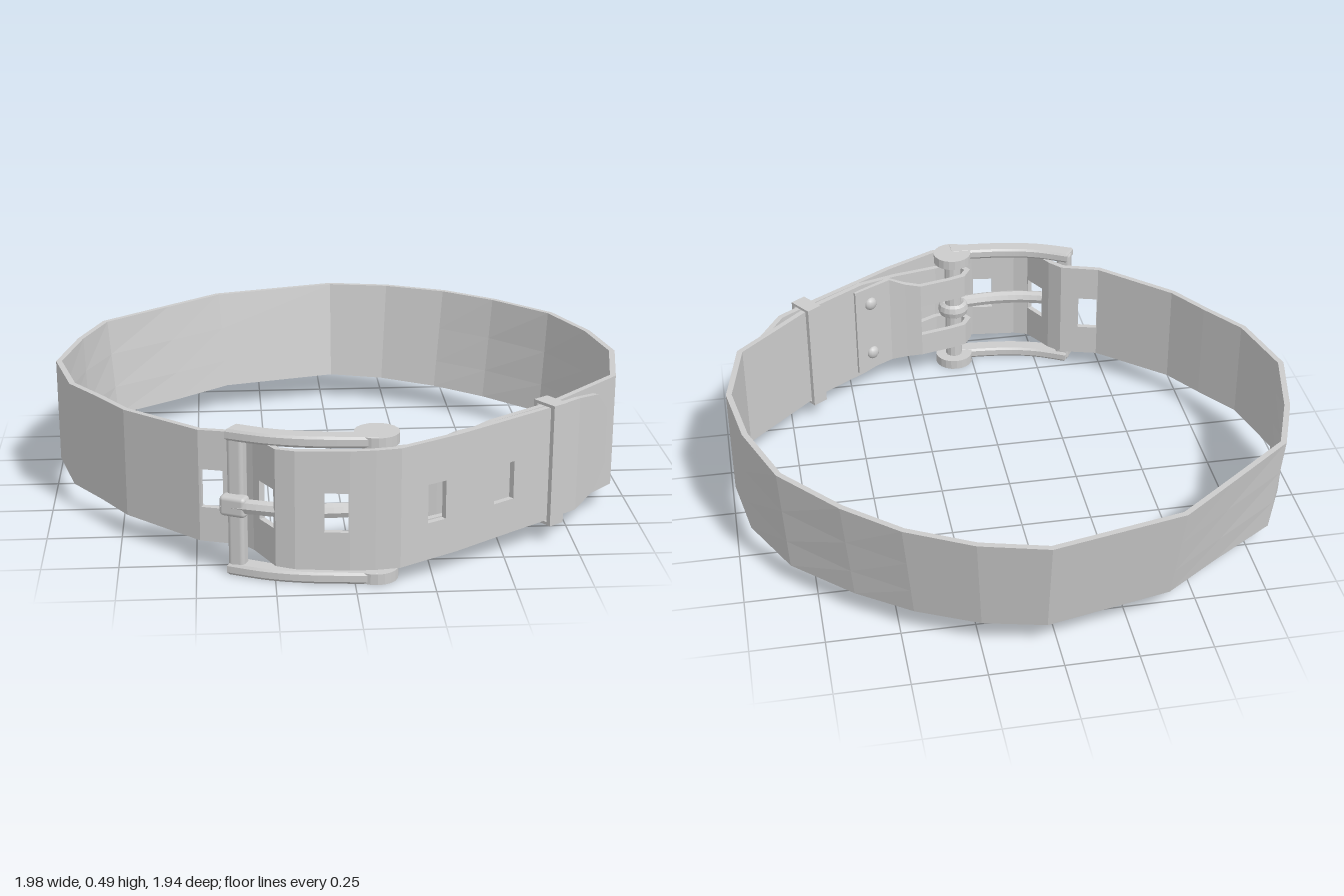
import * as THREE from 'three';
import { RoundedBoxGeometry } from 'three/addons/geometries/RoundedBoxGeometry.js';

const material = new THREE.MeshStandardMaterial({ color: 0xcccccc, flatShading: true, side: THREE.DoubleSide });
const smooth = new THREE.MeshStandardMaterial({ color: 0xcccccc });
const THICK = 0.02;
const { clamp, lerp } = THREE.MathUtils;

function add(parent, name, geometry, x = 0, y = 0, z = 0, mat = material) {
  const mesh = new THREE.Mesh(geometry, mat);
  mesh.name = name;
  mesh.position.set(x, y, z);
  parent.add(mesh);
  return mesh;
}

// Strap outline from above, as [x, z]: the end folded round the buckle bar,
// the body from right to back to left, and the front up to the tip.
const FOLD = [[0.47, 0.695], [0.33, 0.775], [0.27, 0.775], [0.21, 0.772], [0.09, 0.8], [0.03, 0.82],
  [0, 0.87], [0.03, 0.92], [0.07, 0.93], [0.14, 0.92], [0.31, 0.832]];
const BODY = [[0.45, 0.745], [0.66, 0.6], [0.935, 0.33], [0.99, 0.05], [0.95, -0.2], [0.855, -0.45],
  [0.67, -0.66], [0.49, -0.81], [0.27, -0.92], [0.04, -0.975], [-0.42, -0.87], [-0.62, -0.715],
  [-0.85, -0.535], [-0.93, -0.32], [-0.99, -0.05]];
const FRONT = [[-0.925, 0.21], [-0.82, 0.36], [-0.73, 0.5], [-0.487, 0.72], [-0.35, 0.76], [-0.315, 0.8],
  [-0.25, 0.92], [-0.19, 0.945], [-0.02, 0.965], [0.06, 0.965], [0.14, 0.955], [0.33, 0.85],
  [0.66, 0.63], [0.77, 0.55], [0.853, 0.445], [0.9, 0.385]];
const HOLES = [[-0.48, -0.41], [-0.297, -0.255], [-0.1, -0.025], [0.23, 0.29], [0.46, 0.53]];

// The fold narrows into a slotted loop at the bar.
function foldPoint([x, z]) {
  const t = clamp((x - 0.24) / 0.09, 0, 1);
  return { x, z, y0: lerp(0.11, 0.1, t), y1: lerp(0.42, 0.46, t), lean: 0, hole: x < 0.25 };
}

// The body rises towards +x, and its lower edge leans inwards at the back.
function bodyPoint([x, z]) {
  return {
    x, z, y0: 0.09 - 0.02 * z ** 3, y1: 0.47 + 0.015 * x,
    lean: 0.065 * clamp((-z - 0.2) / 0.6, 0, 1), hole: false
  };
}

// Hole edges become extra points on the front, and the tip tapers.
function frontPoints() {
  const cuts = HOLES.flat().map(x => {
    const k = FRONT.findIndex(p => p[0] > x);
    const [a, b] = [FRONT[k - 1], FRONT[k]];
    return [x, lerp(a[1], b[1], (x - a[0]) / (b[0] - a[0]))];
  });
  const points = [...FRONT, ...cuts].sort((a, b) => a[0] - b[0]).map(bodyPoint);
  for (const p of points) p.hole = HOLES.some(([a, b]) => p.x >= a && p.x < b);
  [0.1, 0.025].forEach((inset, k) => {
    const p = points[points.length - 1 - k];
    p.y0 += inset;
    p.y1 -= inset;
  });
  return points;
}

// A band of three rows of cells; the middle cell is left out at a hole.
function strapGeometry(path) {
  const n = path.length;
  const dir = (a, b) => new THREE.Vector2(path[b].x - path[a].x, path[b].z - path[a].z).normalize();
  const rings = path.map(({ x, z, y0, y1, lean }, i) => {
    const before = dir(Math.max(i - 1, 0), Math.max(i, 1));
    const after = dir(Math.min(i, n - 2), Math.min(i + 1, n - 1));
    const d = before.clone().add(after).normalize();
    const width = THICK / Math.max(0.75, d.dot(after));
    return [y0, 0.2, 0.33, y1].map(y => {
      const shift = lean * (y1 - y) / (y1 - y0);
      return [shift, shift + width].map(s => [x + d.y * s, y, z - d.x * s]);
    });
  });
  const solid = (i, j) => i >= 0 && i < n - 1 && j >= 0 && j < 3 && !(j === 1 && path[i].hole);
  const pos = [];
  const quad = (a, b, c, d) => pos.push(...a, ...b, ...c, ...a, ...c, ...d);
  for (let i = 0; i < n - 1; i++) {
    for (let j = 0; j < 3; j++) {
      if (!solid(i, j)) continue;
      const [ao, ai] = rings[i][j], [bo, bi] = rings[i + 1][j];
      const [co, ci] = rings[i + 1][j + 1], [eo, ei] = rings[i][j + 1];
      quad(ao, bo, co, eo);
      quad(bi, ai, ei, ci);
      if (!solid(i, j + 1)) quad(eo, co, ci, ei);
      if (!solid(i, j - 1)) quad(bo, ao, ai, bi);
      if (!solid(i - 1, j)) quad(ai, ao, eo, ei);
      if (!solid(i + 1, j)) quad(bo, bi, ci, co);
    }
  }
  const g = new THREE.BufferGeometry();
  g.setAttribute('position', new THREE.Float32BufferAttribute(pos, 3));
  g.computeVertexNormals();
  return g;
}

function rect(target, w, h) {
  target.moveTo(-w / 2, -h / 2);
  target.lineTo(w / 2, -h / 2);
  target.lineTo(w / 2, h / 2);
  target.lineTo(-w / 2, h / 2);
  target.closePath();
  return target;
}

export function createModel() {
  const model = new THREE.Group();
  model.name = 'belt';
  add(model, 'strap', strapGeometry([...FOLD.map(foldPoint), ...BODY.map(bodyPoint), ...frontPoints()]));

  // Keeper loop, a hollow rectangle slid over both layers
  const loop = rect(new THREE.Shape(), 0.095, 0.42);
  loop.holes.push(rect(new THREE.Path(), 0.063, 0.4));
  const keeperGeometry = new THREE.ExtrudeGeometry(loop, { depth: 0.06, bevelEnabled: false });
  keeperGeometry.translate(0, 0, -0.03);
  add(model, 'keeper', keeperGeometry, 0.663, 0.282, 0.6).rotation.y = Math.atan2(0.82, -0.57);

  // Rivets on the folded end
  for (const y of [0.17, 0.39]) {
    const rivet = add(model, 'rivet', new THREE.SphereGeometry(0.026, 12, 8), 0.41, y, 0.73, smooth);
    rivet.rotation.y = 0.52;
    rivet.scale.z = 0.7;
  }

  // Buckle frame: two curved rails with round ends, a front bar and a hinge bar
  const buckle = new THREE.Group();
  buckle.name = 'buckle';
  model.add(buckle);
  const rail = new THREE.Shape();
  rail.moveTo(-0.395, 0.825);
  rail.splineThru([[-0.27, 0.88], [-0.13, 0.912], [0.07, 0.93]].map(p => new THREE.Vector2(...p)));
  rail.lineTo(0.07, 0.88);
  rail.splineThru([[-0.12, 0.865], [-0.25, 0.835], [-0.365, 0.78]].map(p => new THREE.Vector2(...p)));
  rail.closePath();
  const railGeometry = new THREE.ExtrudeGeometry(rail, {
    depth: 0.022, curveSegments: 8, bevelSize: 0.006, bevelThickness: 0.008, bevelSegments: 1
  });
  railGeometry.rotateX(Math.PI / 2);
  for (const y of [0.483, 0.027]) {
    add(buckle, 'buckleRail', railGeometry, 0, y + 0.011, 0);
    add(buckle, 'hingeKnob', new THREE.CylinderGeometry(0.072, 0.072, 0.036, 20), 0.07, y, 0.87);
  }
  const bar = add(buckle, 'frontBar', new RoundedBoxGeometry(0.055, 0.485, 0.05, 2, 0.014), -0.365, 0.253, 0.812, smooth);
  bar.rotation.y = -0.4;
  add(buckle, 'hingeBar', new THREE.CylinderGeometry(0.032, 0.032, 0.45, 12), 0.07, 0.255, 0.87);

  // Prong hinged on the bar, passing through a hole and resting on the frame
  const prong = new THREE.CatmullRomCurve3([
    [0.05, 0.255, 0.905], [-0.1, 0.255, 0.913], [-0.22, 0.255, 0.9], [-0.33, 0.255, 0.865], [-0.41, 0.25, 0.825]
  ].map(p => new THREE.Vector3(...p)));
  add(buckle, 'prong', new THREE.TubeGeometry(prong, 16, 0.025, 8));
  const tip = add(buckle, 'prongTip', new RoundedBoxGeometry(0.09, 0.068, 0.05, 2, 0.014), -0.375, 0.253, 0.843, smooth);
  tip.rotation.y = -0.45;
  const eye = new THREE.TorusGeometry(0.042, 0.018, 8, 16);
  eye.rotateX(Math.PI / 2);
  eye.scale(1, 1.6, 1);
  add(buckle, 'prongEye', eye, 0.07, 0.255, 0.87);
  return model;
}
